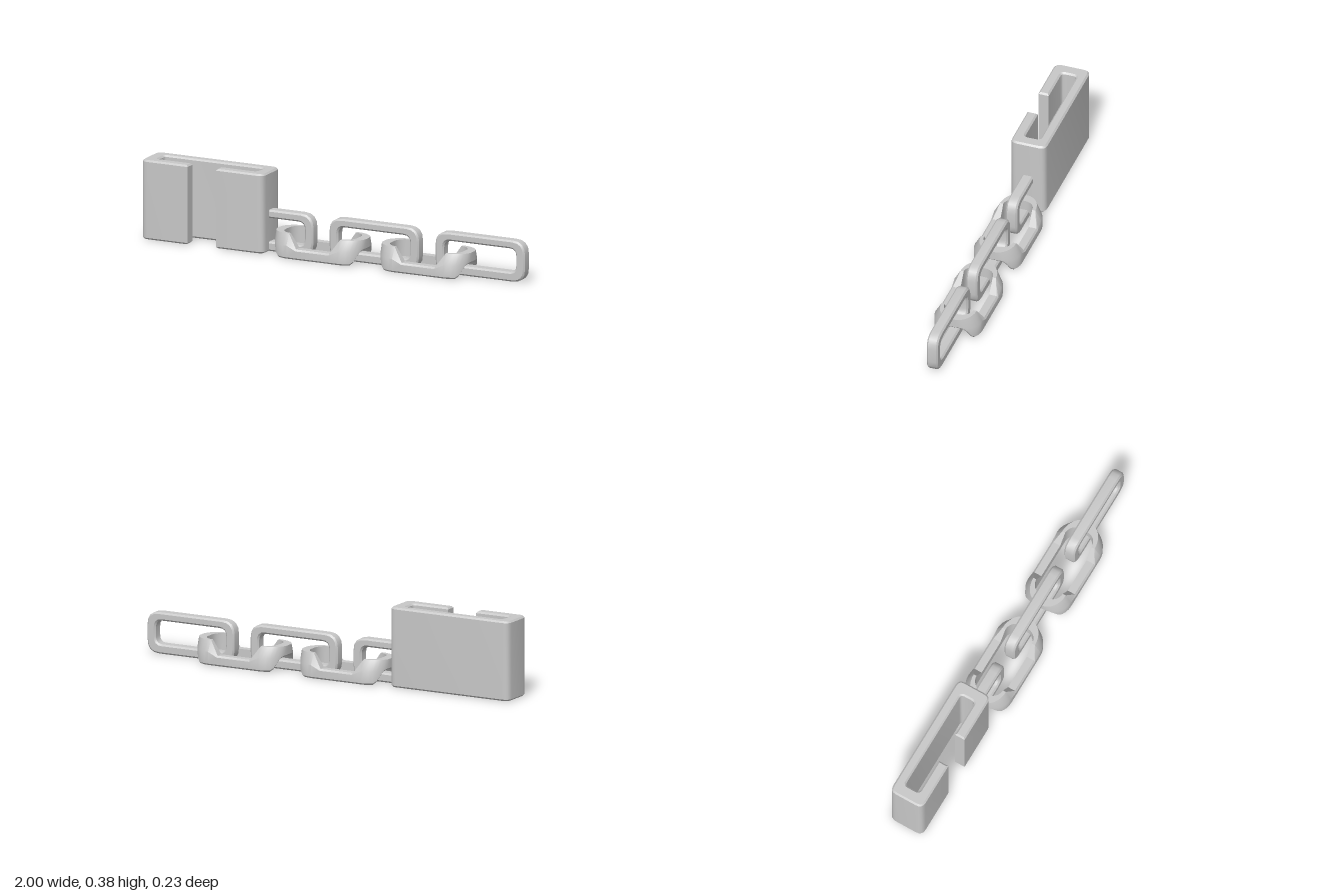
import * as THREE from 'three';
import { toCreasedNormals } from 'three/addons/utils/BufferGeometryUtils.js';

const BEVEL = 0.008;

// Closed path through [x, y, cornerRadius] points, with rounded corners
function roundedPath(points, path) {
  const n = points.length;
  points.forEach(([x, y, r = 0], i) => {
    const toward = ([px, py]) => {
      const d = Math.hypot(px - x, py - y);
      return [x + (px - x) * r / d, y + (py - y) * r / d];
    };
    const a = toward(points[(i + n - 1) % n]);
    const b = toward(points[(i + 1) % n]);
    if (i === 0) path.moveTo(...a); else path.lineTo(...a);
    if (r > 0) path.quadraticCurveTo(x, y, ...b);
  });
  path.closePath();
  return path;
}

const rect = (x0, x1, y0, y1, r) => [[x0, y0, r], [x1, y0, r], [x1, y1, r], [x0, y1, r]];

// Bevelled plate whose total thickness runs from 0 to depth
function plate(shape, depth) {
  const g = new THREE.ExtrudeGeometry(shape, {
    depth: depth - 2 * BEVEL, bevelEnabled: true, bevelSegments: 1,
    bevelSize: BEVEL, bevelThickness: BEVEL, bevelOffset: -BEVEL, curveSegments: 4,
  });
  g.translate(0, 0, BEVEL);
  return toCreasedNormals(g, 0.5);
}

// Saddle link: side bars rest low, both ends arch upward
function saddleLinkGeometry() {
  const cx = 0.135, cz = 0.017, rOut = 0.1, rIn = 0.055, steps = 8;
  const stations = [];
  for (const [sx, sz] of [[1, 1], [-1, 1], [-1, -1], [1, -1]]) {
    const quarter = [];
    for (let i = 0; i <= steps; i++) {
      const a = (i / steps) * Math.PI / 2;
      quarter.push({ sx, sz, x: cx, c: Math.cos(a), s: Math.sin(a) });
    }
    quarter.push({ sx, sz, x: 0.088, c: 0, s: 1 });
    if (sx * sz < 0) quarter.reverse();
    stations.push(...quarter);
  }
  const rings = stations.map(({ sx, sz, x, c, s }) => {
    const reach = x + rOut * c;
    const lift = THREE.MathUtils.clamp((reach - 0.088) / 0.04, 0, 1);
    const bottom = 0.065 * THREE.MathUtils.clamp((reach - 0.2) / 0.03, 0, 1);
    const top = 0.05 + 0.067 * lift;
    const kink = Math.max(bottom + 0.014, 0.042 + 0.023 * lift);
    const at = (r, y, squeeze = 1) => new THREE.Vector3(sx * (x + r * c), y, sz * (cz + r * s) * squeeze);
    return [
      at(rIn, bottom), at(rOut - BEVEL, bottom), at(rOut, bottom + BEVEL),
      at(rOut, kink), at(rOut - BEVEL * (1 - lift), top, 1 - 0.25 * lift), at(rIn, top),
    ];
  });
  const pos = [];
  const n = rings.length, m = rings[0].length;
  for (let i = 0; i < n; i++) {
    for (let j = 0; j < m; j++) {
      const a = rings[i][j], b = rings[i][(j + 1) % m];
      const c = rings[(i + 1) % n][j], d = rings[(i + 1) % n][(j + 1) % m];
      if (a.distanceTo(c) < 1e-6 && b.distanceTo(d) < 1e-6) continue;
      for (const v of [a, b, c, b, d, c]) pos.push(v.x, v.y, v.z);
    }
  }
  const g = new THREE.BufferGeometry();
  g.setAttribute('position', new THREE.Float32BufferAttribute(pos, 3));
  g.computeVertexNormals();
  return toCreasedNormals(g, 0.6);
}

export function createModel() {
  const group = new THREE.Group();
  const grey = new THREE.MeshStandardMaterial({ color: 0xc8c8c8 });
  grey.name = 'light grey plastic';
  const add = (name, geometry, x = 0, y = 0, z = 0) => {
    const mesh = new THREE.Mesh(geometry, grey);
    mesh.name = name;
    mesh.position.set(x, y, z);
    group.add(mesh);
  };

  // C-shaped clip, open in the middle of its front wall
  const clip = roundedPath([
    [-1, 0.088, 0.034], [-1, -0.088, 0.034], [-0.753, -0.088], [-0.753, -0.036],
    [-0.938, -0.036, 0.018], [-0.938, 0.04, 0.018], [-0.414, 0.04, 0.018], [-0.414, -0.036, 0.018],
    [-0.602, -0.036], [-0.602, -0.088], [-0.353, -0.088, 0.034], [-0.353, 0.088, 0.034],
  ], new THREE.Shape());
  add('clip', plate(clip, 0.385).rotateX(-Math.PI / 2));

  // Half link growing out of the clip wall
  const half = roundedPath([
    [-0.385, 0.002], [-0.12, 0.002, 0.065], [-0.12, 0.202, 0.065], [-0.385, 0.202],
    [-0.385, 0.162], [-0.165, 0.162, 0.035], [-0.165, 0.048, 0.035], [-0.385, 0.048],
  ], new THREE.Shape());
  add('anchorLink', plate(half, 0.056), 0, 0, -0.028);

  // Upright links
  const upright = roundedPath(rect(-0.237, 0.237, 0.002, 0.202, 0.065), new THREE.Shape());
  upright.holes.push(roundedPath(rect(-0.191, 0.191, 0.048, 0.162, 0.035), new THREE.Path()));
  const uprightGeometry = plate(upright, 0.056);
  [0.202, 0.763].forEach((x, i) => add(`uprightLink${i + 1}`, uprightGeometry, x, 0, -0.028));

  // Flat saddle links joining them
  const saddle = saddleLinkGeometry();
  [-0.079, 0.48].forEach((x, i) => add(`saddleLink${i + 1}`, saddle, x));

  return group;
}
